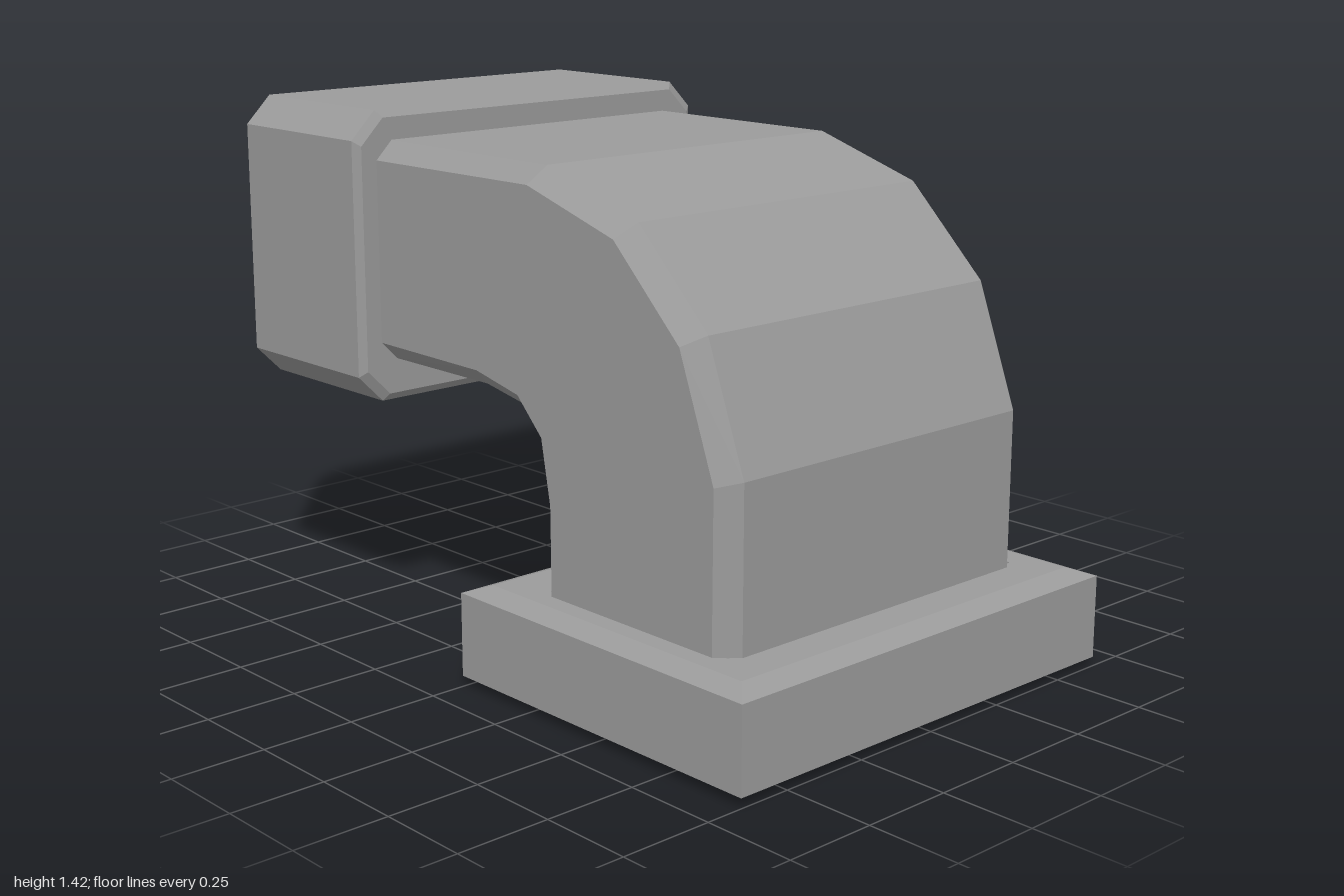
import * as THREE from 'three';

const material = new THREE.MeshStandardMaterial({ color: 0x9b9b9b, flatShading: true });
const CENTRE_X = -0.005;

// Rectangular section with cut corners, spanning from inner point I to outer point O (each [z, y])
function section(O, I, half, cut, inset = 0) {
  const o = new THREE.Vector2(...O), i = new THREE.Vector2(...I);
  const dir = o.clone().sub(i).normalize();
  const mid = o.clone().add(i).multiplyScalar(0.5);
  const h = o.distanceTo(i) / 2 - inset, w = half - inset;
  const corners = cut > 0
    ? [[w, -h + cut], [w, h - cut], [w - cut, h], [-w + cut, h],
      [-w, h - cut], [-w, -h + cut], [-w + cut, -h], [w - cut, -h]]
    : [[w, -h], [w, h], [-w, h], [-w, -h]];
  return corners.map(([u, v]) => [u, mid.y + dir.y * v, mid.x + dir.x * v]);
}

// Skin a closed cycle of sections: outside along the path, then back along the inside
function shell(name, rings, x) {
  const n = rings[0].length, index = [];
  rings.forEach((_, r) => {
    const a = r * n, b = ((r + 1) % rings.length) * n;
    for (let i = 0; i < n; i++) {
      const j = (i + 1) % n;
      index.push(a + i, b + i, b + j, a + i, b + j, a + j);
    }
  });
  const geometry = new THREE.BufferGeometry();
  geometry.setAttribute('position', new THREE.Float32BufferAttribute(rings.flat(2), 3));
  geometry.setIndex(index);
  geometry.computeVertexNormals();
  const mesh = new THREE.Mesh(geometry, material);
  mesh.name = name;
  mesh.position.x = x;
  return mesh;
}

export function createModel() {
  const model = new THREE.Group();
  model.name = 'ductElbow';

  // Bent duct: pairs of [outer, inner] points along the bend
  const mouth = [[0.84, 0.23], [0.168, 0.23]];
  const neck = [[0.84, 0.265], [0.168, 0.265]];
  const bend = [
    [[0.84, 0.69], [0.168, 0.49]],
    [[0.72, 1.01], [0.142, 0.646]],
    [[0.485, 1.24], [0.062, 0.726]],
    [[0.16, 1.34], [-0.088, 0.753]],
    [[-0.49, 1.34], [-0.49, 0.753]],
  ];
  const skin = (stations, inset) => stations.map(([o, i]) => section(o, i, 0.533, 0.05, inset));
  // Thin wall with a thicker lip at the lower mouth
  const inside = [...skin([mouth, neck], 0.03), ...skin([neck, ...bend], 0.01)].reverse();
  model.add(shell('bentDuct', [...skin([mouth, ...bend], 0), ...inside], CENTRE_X));

  // Collar around the open end, its front wall closing onto the duct: [z, top, bottom, half width, corner cut]
  const collar = [
    [-0.475, 1.4, 0.66, 0.58, 0.07], [-0.49, 1.42, 0.64, 0.6, 0.075],
    [-0.985, 1.42, 0.64, 0.6, 0.075], [-1, 1.4, 0.66, 0.58, 0.07],
    [-1, 1.36, 0.7, 0.54, 0.055], [-0.985, 1.34, 0.72, 0.52, 0.05],
    [-0.5, 1.34, 0.72, 0.52, 0.05], [-0.5, 1.332, 0.762, 0.52, 0.05], [-0.475, 1.332, 0.762, 0.52, 0.05],
  ].map(([z, top, bottom, half, cut]) => section([z, top], [z, bottom], half, cut));
  model.add(shell('endCollar', collar, CENTRE_X));

  // Hollow base flange with a ceiling that closes onto the duct: [y, front z, back z, half width]
  const flange = [
    [0, 0.935, 0.06, 0.58], [0.025, 1, -0.008, 0.648], [0.248, 1, -0.008, 0.648], [0.27, 0.94, 0.05, 0.59],
    [0.27, 0.82, 0.188, 0.515], [0.235, 0.82, 0.188, 0.515], [0.235, 0.935, 0.06, 0.58],
  ].map(([y, front, back, half]) => section([front, y], [back, y], half, 0));
  model.add(shell('baseFlange', flange, 0));

  return model;
}
